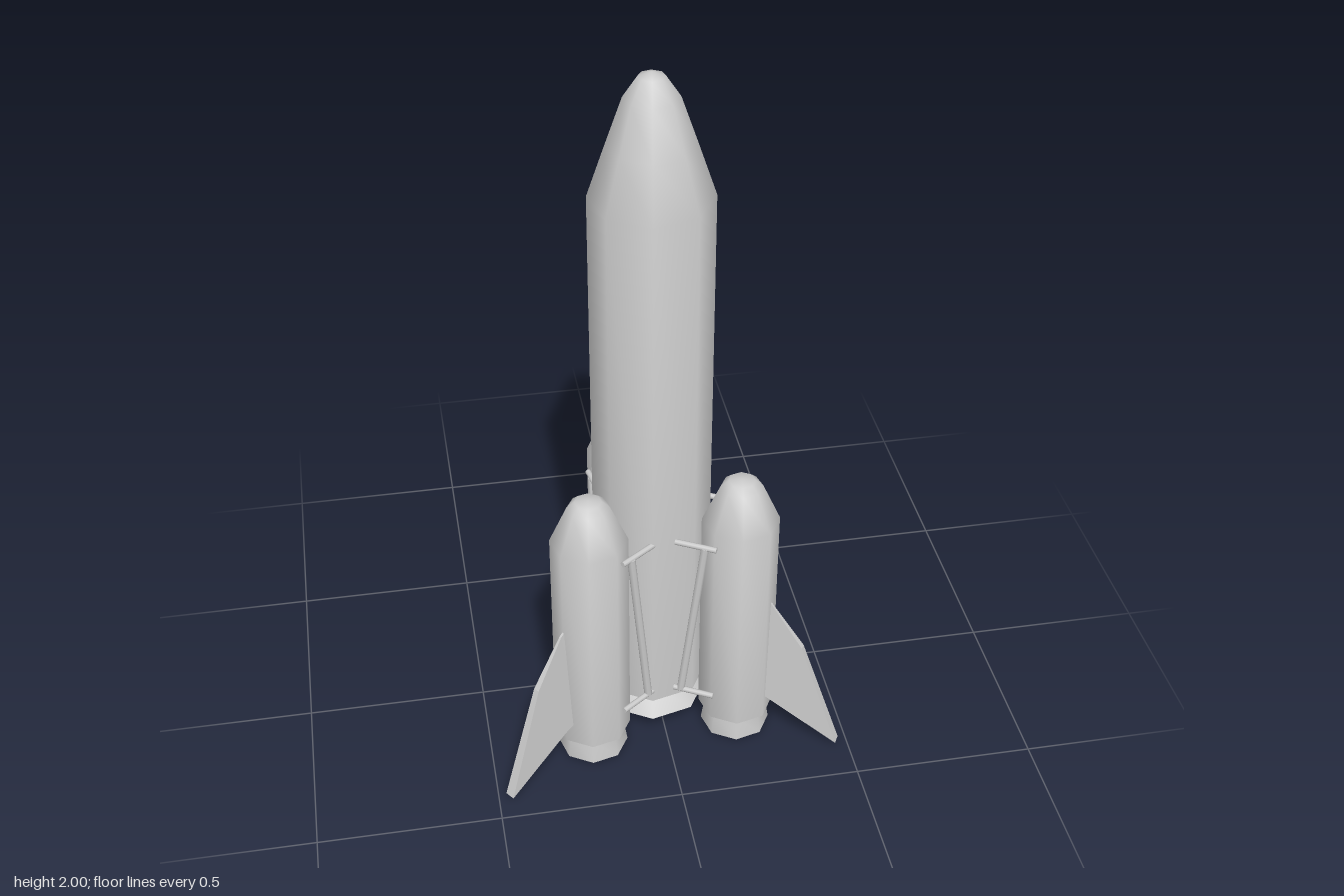
import * as THREE from 'three';
import { toCreasedNormals } from 'three/addons/utils/BufferGeometryUtils.js';

const rad = THREE.MathUtils.degToRad;
const material = new THREE.MeshStandardMaterial({ color: 0xcccccc });

function add(parent, name, geometry) {
  const mesh = new THREE.Mesh(geometry, material);
  mesh.name = name;
  parent.add(mesh);
  return mesh;
}

// Eight-sided turned solid; the profile runs from bottom to top as [radius, y]
function turned(profile) {
  const points = profile.map(([r, y]) => new THREE.Vector2(r, y));
  return toCreasedNormals(new THREE.LatheGeometry(points, 8, rad(36.5)), 1.0);
}

// Thin round rod between two points
function rod(parent, name, from, to, radius) {
  const a = new THREE.Vector3(...from), b = new THREE.Vector3(...to);
  const dir = b.clone().sub(a);
  const mesh = add(parent, name, new THREE.CylinderGeometry(radius, radius, dir.length(), 8));
  mesh.position.copy(a).add(b).multiplyScalar(0.5);
  mesh.quaternion.setFromUnitVectors(new THREE.Vector3(0, 1, 0), dir.normalize());
}

// Swept fin: sharp at the top, thick along its lower edge, slimmer at the tip
function finGeometry(root) {
  const outline = [[root, 0.14], [0.35, 0.13], [0.557, 0.01], [0.443, 0.33], [0.35, 0.46], [root, 0.5]];
  const shape = new THREE.Shape(outline.map(([x, y]) => new THREE.Vector2(x, y)));
  const geo = new THREE.ExtrudeGeometry(shape, { depth: 1, bevelEnabled: false });
  geo.translate(0, 0, -0.5);
  const p = geo.attributes.position;
  for (let i = 0; i < p.count; i++) {
    const x = p.getX(i), y = p.getY(i);
    const outward = THREE.MathUtils.clamp((x - 0.35) / 0.207, 0, 1);
    const upward = THREE.MathUtils.clamp((y - 0.13) / 0.33, 0, 1);
    const thickness = THREE.MathUtils.lerp(0.042, 0.029, outward) * (1 - 0.85 * upward);
    p.setZ(i, p.getZ(i) * thickness);
  }
  geo.computeVertexNormals();
  return geo;
}

export function createModel() {
  const model = new THREE.Group();
  model.name = 'rocket';
  const core = { x: -0.017, z: 0.108 };

  // Central stage with its engine bell
  const coreStage = new THREE.Group();
  coreStage.name = 'coreStage';
  coreStage.position.set(core.x, 0, core.z);
  model.add(coreStage);
  add(coreStage, 'coreBody', turned([
    [0, 0.14], [0.16, 0.14], [0.16, 1.67], [0.113, 1.81], [0.07, 1.935], [0.034, 1.988], [0, 2],
  ]));
  add(coreStage, 'coreNozzle', turned([[0, 0.065], [0.155, 0.065], [0.095, 0.142], [0, 0.142]]));

  // Side boosters, each with a fin and a pair of strut frames
  const boosterBody = turned([
    [0, 0.07], [0.105, 0.07], [0.105, 0.73], [0.057, 0.838], [0.036, 0.857], [0, 0.86],
  ]);
  const boosterNozzle = turned([[0, 0], [0.097, 0], [0.086, 0.072], [0, 0.072]]);
  const boosters = [
    { name: 'back', x: -0.051, z: -0.142, angle: 99.5 },
    { name: 'left', x: 0.206, z: 0.223, angle: -29 },
    { name: 'right', x: -0.209, z: 0.243, angle: 215.5 },
  ];
  for (const { name, x, z, angle } of boosters) {
    const booster = new THREE.Group();
    booster.name = name + 'Booster';
    booster.position.set(x, 0, z);
    add(booster, 'boosterBody', boosterBody);
    add(booster, 'boosterNozzle', boosterNozzle);
    model.add(booster);

    // Local +x points outward from the core
    const mount = new THREE.Group();
    mount.name = name + 'FinAndStruts';
    mount.position.set(core.x, 0, core.z);
    mount.rotation.y = rad(angle);
    add(mount, 'fin', finGeometry(0.3));
    for (const side of [-0.11, 0.11]) {
      rod(mount, 'upperStrut', [0.105, 0.7, side], [0.22, 0.7, side], 0.008);
      rod(mount, 'lowerStrut', [0.105, 0.175, side], [0.22, 0.175, side], 0.008);
      rod(mount, 'diagonalStrut', [0.188, 0.7, side], [0.125, 0.175, side], 0.011);
    }
    model.add(mount);
  }
  return model;
}
